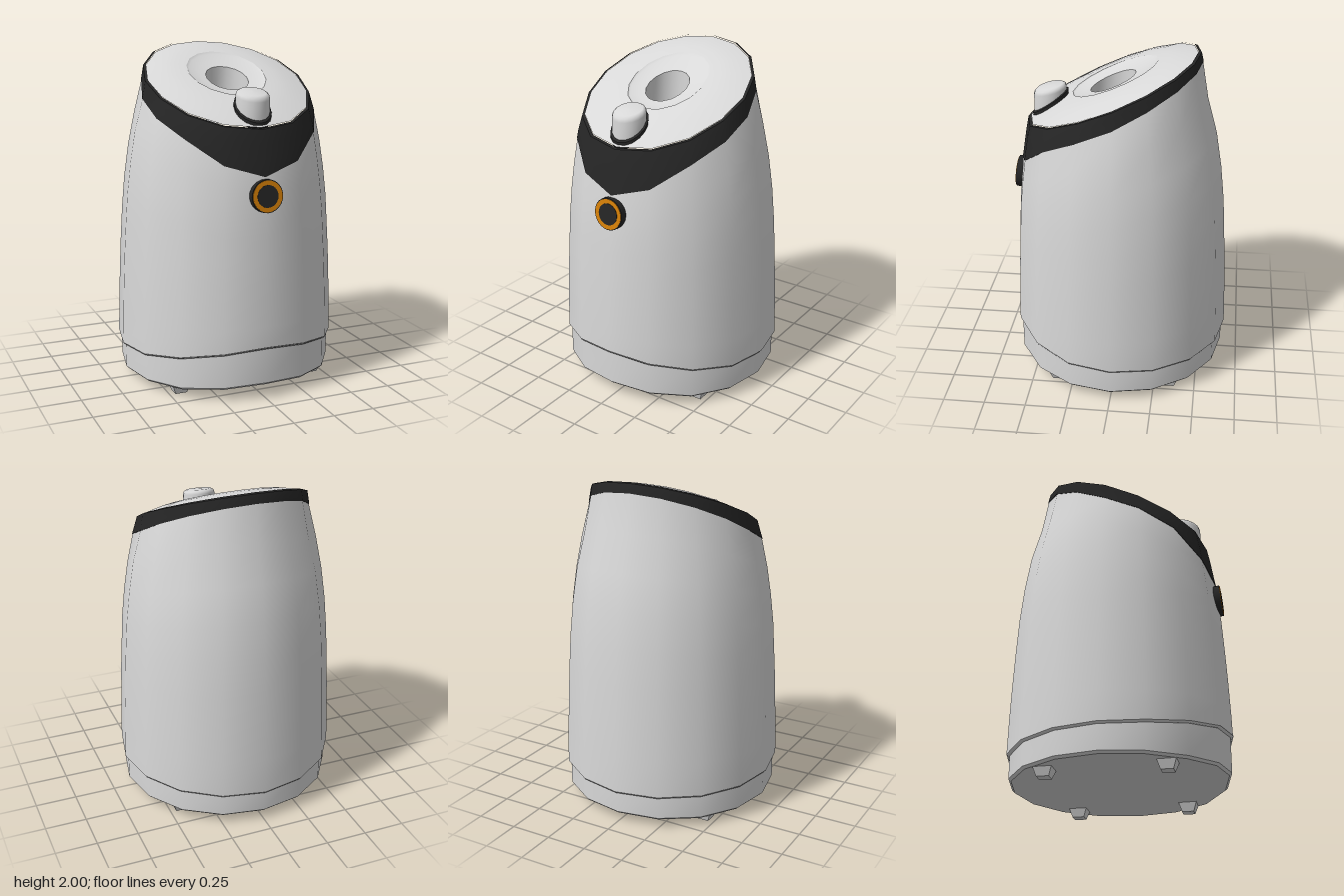
import * as THREE from 'three';

const SIDES = 16;
const mat = (name, color) => new THREE.MeshStandardMaterial({ name, color });

// Straight-line interpolation through [position, value] pairs
function lookup(table, v) {
  let i = 0;
  while (i < table.length - 2 && v > table[i + 1][0]) i++;
  const [a, b] = [table[i], table[i + 1]];
  return a[1] + (b[1] - a[1]) * (v - a[0]) / (b[0] - a[0]);
}

// Shell radius by height
const PROFILE = [[0.2, 0.665], [0.45, 0.658], [0.75, 0.645], [1.1, 0.623], [1.3, 0.6],
  [1.5, 0.567], [1.56, 0.555], [1.72, 0.507], [1.95, 0.468], [2, 0.456]];
const radius = y => lookup(PROFILE, y);

// Edge heights by angle from the front, in steps of 22.5 degrees
const SHELL_LOW = [0.312, 0.287, 0.25, 0.22, 0.211, 0.207, 0.203, 0.199, 0.196];
const BAND_LOW = [1.305, 1.373, 1.51, 1.61];
const BASE_LOW = [0.087, 0.072, 0.054, 0.05, 0.05, 0.05, 0.05, 0.051, 0.054];
const fold = j => Math.min(j, SIDES - j);
const angle = j => j / SIDES * Math.PI * 2;
const at = (j, r, y, cz = 0, rz = r) =>
  new THREE.Vector3(Math.sin(angle(j)) * r, y, cz + Math.cos(angle(j)) * rz);

// Height where the shell meets a plane sloping down to the front
function slopedHeight(j, y0, slope) {
  let y = y0;
  for (let i = 0; i < 12; i++) y = y0 - slope * Math.cos(angle(j)) * radius(y);
  return y;
}
const lidPlane = z => 1.802 - 0.427 * z;
const rimHeight = j => slopedHeight(j, 1.802, 0.427);
const bandHeight = j => fold(j) < 4 ? BAND_LOW[fold(j)] : slopedHeight(j, 1.70, 0.52);

// Smooth closed skin through rings; each ring is a function of the side index
function loft(name, material, rings) {
  const pos = [], index = [];
  for (const ring of rings) for (let j = 0; j < SIDES; j++) pos.push(...ring(j).toArray());
  for (let i = 0; i < rings.length - 1; i++) {
    for (let j = 0; j < SIDES; j++) {
      const n = (j + 1) % SIDES;
      const a = i * SIDES + j, b = i * SIDES + n, c = b + SIDES, d = a + SIDES;
      index.push(a, b, c, a, c, d);
    }
  }
  const geo = new THREE.BufferGeometry();
  geo.setAttribute('position', new THREE.Float32BufferAttribute(pos, 3));
  geo.setIndex(index);
  geo.computeVertexNormals();
  const mesh = new THREE.Mesh(geo, material);
  mesh.name = name;
  return mesh;
}

// Rings at even steps between two edge heights on the shell
const shellRings = (low, high, steps, extra = 0) =>
  Array.from({ length: steps + 1 }, (_, i) => j => {
    const y = THREE.MathUtils.lerp(low(j), high(j), i / steps);
    return at(j, radius(y) + extra, y);
  });

export function createModel() {
  const group = new THREE.Group();
  const shellMat = mat('light grey plastic', 0xd8d8d8);
  const darkMat = mat('black trim', 0x262626);
  const orangeMat = mat('orange ring', 0xd98207);

  // Base with arched front edge and a small bevel
  const low = j => BASE_LOW[fold(j)];
  const shellLow = j => SHELL_LOW[fold(j)];
  const baseEdge = j => at(j, 0.632, low(j));
  const baseBevel = j => at(j, 0.647, low(j) + 0.014);
  group.add(
    loft('baseBottom', shellMat, [j => at(j, 0, 0.053), baseEdge]),
    loft('baseBevel', shellMat, [baseEdge, baseBevel]),
    loft('baseWall', shellMat, [baseBevel, j => at(j, 0.647, shellLow(j) + 0.02)]));

  // Feet
  for (const x of [-0.43, 0.43]) for (const z of [-0.34, 0.34]) {
    const geo = new THREE.CylinderGeometry(0.08, 0.05, 0.06, 4, 1).toNonIndexed();
    geo.rotateY(Math.PI / 4);
    geo.computeVertexNormals();
    const foot = new THREE.Mesh(geo, shellMat);
    foot.name = 'foot';
    foot.position.set(x, 0.03, z);
    group.add(foot);
  }

  // Main shell with its lower lip
  group.add(
    loft('shellLip', shellMat, [j => at(j, 0.64, shellLow(j)), j => at(j, 0.657, shellLow(j)),
      j => at(j, 0.665, shellLow(j) + 0.01)]),
    loft('shell', shellMat, shellRings(j => shellLow(j) + 0.01, bandHeight, 8)));

  // Black band dipping to a point at the front
  group.add(
    loft('band', darkMat, shellRings(bandHeight, rimHeight, 3, 0.003)),
    loft('bandUnderside', darkMat, [j => at(j, radius(bandHeight(j)) - 0.01, bandHeight(j)),
      j => at(j, radius(bandHeight(j)) + 0.003, bandHeight(j))]),
    loft('bandRim', darkMat, [j => at(j, radius(rimHeight(j)) + 0.003, rimHeight(j)),
      j => at(j, radius(rimHeight(j)) - 0.014, rimHeight(j) + 0.004)]));

  // Bulging lid, dished around the central well
  const onLid = (j, r, cz, rz, lift) => {
    const p = at(j, r, 0, cz, rz);
    p.y = lidPlane(p.z) + lift;
    return p;
  };
  const rim = j => at(j, radius(rimHeight(j)) - 0.014, rimHeight(j) + 0.003);
  const dishEdge = j => onLid(j, 0.235, 0.035, 0.25, 0.05);
  const lidRings = [0, 0.2, 0.45, 0.72, 1].map(t => j => {
    const p = rim(j).lerp(dishEdge(j), t);
    p.y = lidPlane(p.z) + 0.003 + 0.047 * Math.sin(t * Math.PI / 2);
    return p;
  });
  const wellEdge = j => onLid(j, 0.127, 0.047, 0.133, 0.024);
  const wellFloor = j => at(j, 0.125, 1.55, 0.047, 0.131);
  group.add(
    loft('lid', shellMat, lidRings),
    loft('lidDish', shellMat, [dishEdge, j => onLid(j, 0.222, 0.036, 0.237, 0.041),
      j => onLid(j, 0.17, 0.042, 0.18, 0.03), wellEdge]),
    loft('wellWall', shellMat, [wellEdge, wellFloor]),
    loft('wellFloor', shellMat, [wellFloor, j => at(j, 0, 1.55, 0.047)]));

  // Button with sloping collar
  const cz = 0.42;
  const tilted = (r, y, slope) => j => {
    const p = at(j, r, 0, cz);
    p.y = y - slope * (p.z - cz);
    return p;
  };
  group.add(
    loft('buttonCollar', darkMat, [tilted(0.106, 1.62, 0.55), tilted(0.108, 1.672, 0.69)]),
    loft('buttonCollarTop', darkMat, [tilted(0.108, 1.672, 0.69), tilted(0.09, 1.682, 0.69)]),
    loft('button', shellMat, [tilted(0.098, 1.66, 0.69), tilted(0.098, 1.735, 0.25),
      tilted(0.092, 1.753, 0.24), tilted(0.078, 1.763, 0.23), tilted(0, 1.766, 0.23)]));

  // Round front badge, leaning with the shell
  const badge = new THREE.Group();
  badge.name = 'badge';
  const disc = (name, r, depth, z, material) => {
    const mesh = new THREE.Mesh(new THREE.CylinderGeometry(r, r, depth, 24).rotateX(Math.PI / 2), material);
    mesh.name = name;
    mesh.position.z = z;
    badge.add(mesh);
  };
  disc('badgeBody', 0.095, 0.04, 0, darkMat);
  disc('badgeRing', 0.09, 0.006, 0.02, orangeMat);
  disc('badgeCentre', 0.064, 0.006, 0.022, darkMat);
  badge.position.set(0, 1.2, 0.612);
  badge.rotation.x = -0.08;
  group.add(badge);

  return group;
}
